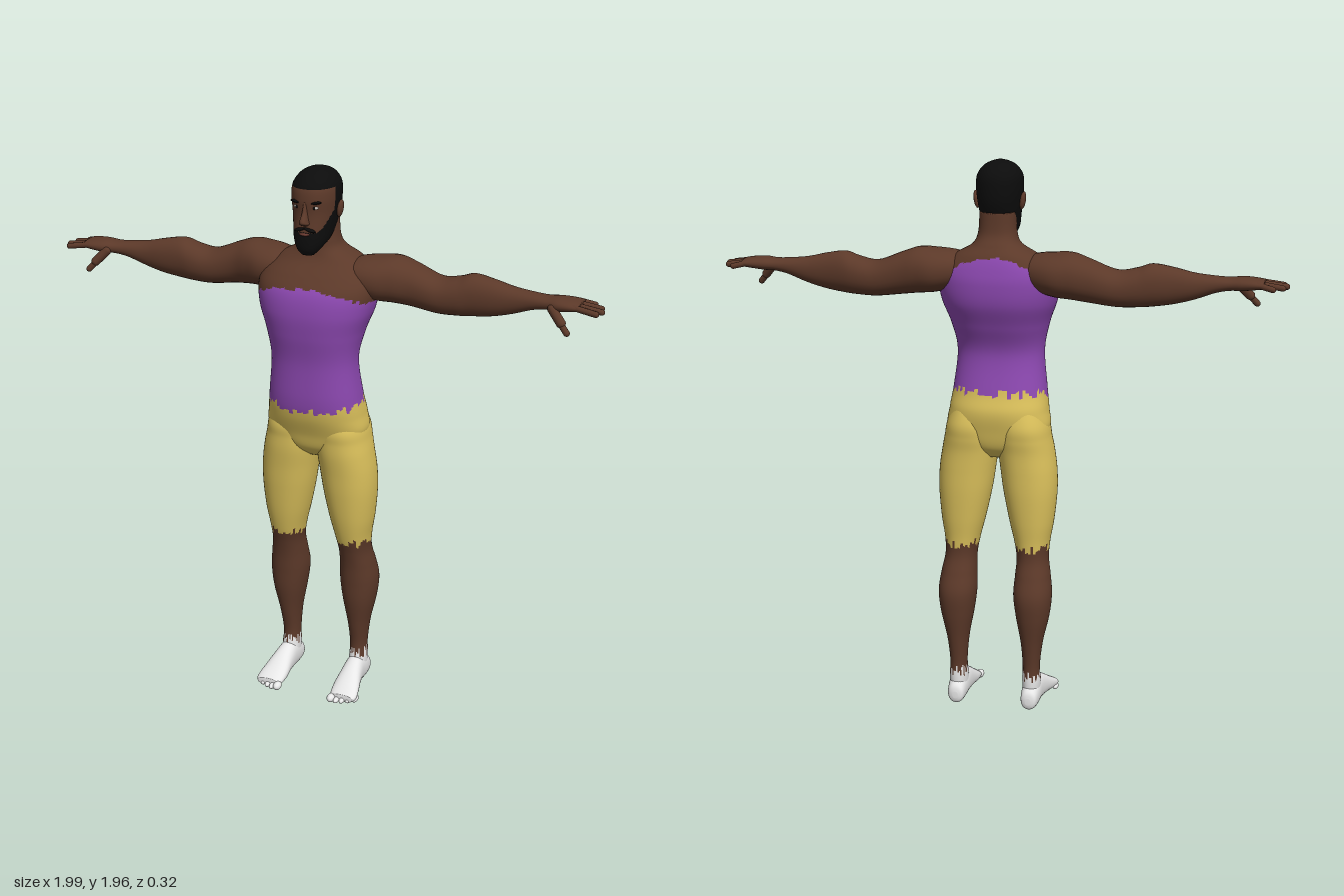
import * as THREE from 'three';

const mat = (name, color) => Object.assign(new THREE.MeshStandardMaterial({ color }), { name });
const jag = (k) => { const s = Math.sin(k * 12.9898 + 4.1) * 43758.5453; return s - Math.floor(s); };
const spow = (v, e) => Math.sign(v) * Math.pow(Math.abs(v), e);

// Smooth curve through the rows, all columns at once
function smoothRows(rows, steps) {
  const out = [], n = rows.length;
  for (let i = 0; i < n - 1; i++) {
    const [r0, r1, r2, r3] = [rows[Math.max(i - 1, 0)], rows[i], rows[i + 1], rows[Math.min(i + 2, n - 1)]];
    for (let k = 0; k < steps; k++) {
      const t = k / steps;
      out.push(r1.map((p, c) => 0.5 * (2 * p + (r2[c] - r0[c]) * t
        + (2 * r0[c] - 5 * p + 4 * r2[c] - r3[c]) * t * t
        + (3 * p - r0[c] - 3 * r2[c] + r3[c]) * t * t * t)));
    }
  }
  out.push(rows[n - 1]);
  return out;
}

// Rounded cross-sections along an axis; each row is [position, minA, maxA, minB, maxB].
// rule(centre, column) picks the material index of a face.
function loft(name, axis, rows, mats, { side = 1, seg = 32, steps = 6, power = 2.2, rule = () => 0 } = {}) {
  const rings = smoothRows(rows, steps), verts = [], tris = [];
  const put = (t, a, b) => {
    const [x, y, z] = axis === 'x' ? [t, a, b] : axis === 'y' ? [a, t, b] : [a, b, t];
    verts.push(new THREE.Vector3(x * side, y, z));
  };
  for (const [t, a0, a1, b0, b1] of rings) {
    for (let j = 0; j < seg; j++) {
      const w = (j / seg) * Math.PI * 2;
      put(t, (a0 + a1) / 2 + (a1 - a0) / 2 * spow(Math.cos(w), 2 / power),
        (b0 + b1) / 2 + (b1 - b0) / 2 * spow(Math.sin(w), 2 / power));
    }
  }
  const last = rings.length - 1;
  for (const r of [rings[0], rings[last]]) put(r[0], (r[1] + r[2]) / 2, (r[3] + r[4]) / 2);
  const endA = verts.length - 2, endB = verts.length - 1;
  for (let j = 0; j < seg; j++) {
    const k = (j + 1) % seg;
    for (let i = 0; i < last; i++) {
      const a = i * seg + j, b = i * seg + k, c = a + seg, d = b + seg;
      tris.push([a, b, c, j], [b, d, c, j]);
    }
    tris.push([endA, k, j, j], [endB, last * seg + j, last * seg + k, j]);
  }
  // Turn faces outward, whichever way the axis runs
  let volume = 0;
  const mid = verts[endA], v = new THREE.Vector3(), e = new THREE.Vector3(), f = new THREE.Vector3();
  for (const [a, b, c] of tris) {
    volume += v.subVectors(verts[a], mid).dot(e.subVectors(verts[b], mid).cross(f.subVectors(verts[c], mid)));
  }
  const buckets = mats.map(() => []);
  for (const [a, b, c, j] of tris) {
    v.copy(verts[a]).add(verts[b]).add(verts[c]).divideScalar(3);
    buckets[rule(v, j)].push(...(volume > 0 ? [a, b, c] : [a, c, b]));
  }
  const geo = new THREE.BufferGeometry().setFromPoints(verts);
  geo.setIndex(buckets.flat());
  let start = 0;
  buckets.forEach((b, i) => { geo.addGroup(start, b.length, i); start += b.length; });
  geo.computeVertexNormals();
  const mesh = new THREE.Mesh(geo, mats);
  mesh.name = name;
  return mesh;
}

function ball(name, material, pos, size, tilt = 0) {
  const m = new THREE.Mesh(new THREE.SphereGeometry(1, 18, 12), material);
  m.position.set(...pos);
  m.scale.set(...size);
  m.rotation.z = tilt;
  m.name = name;
  return m;
}

function digit(name, material, from, to, radius) {
  const a = new THREE.Vector3(...from), b = new THREE.Vector3(...to), d = b.clone().sub(a);
  const m = new THREE.Mesh(new THREE.CapsuleGeometry(radius, d.length(), 5, 10), material);
  m.position.copy(a).add(b).multiplyScalar(0.5);
  m.quaternion.setFromUnitVectors(new THREE.Vector3(0, 1, 0), d.normalize());
  m.name = name;
  return m;
}

const symmetric = (rows) => rows.map(([y, h, back, front]) => [y, -h, h, back, front]);

export function createModel() {
  const skin = mat('skin', 0x5c3929), purple = mat('purple top', 0x8c48b0), yellow = mat('yellow shorts', 0xd8be5a);
  const white = mat('white socks', 0xececec), hair = mat('black hair', 0x0c0c0c);
  const lip = mat('lips', 0x6a3a30), eyeWhite = mat('eye white', 0xcfc8c0);
  const model = new THREE.Group();
  model.name = 'standingMan';

  // Torso and neck, with a ragged waist and neckline
  model.add(loft('torso', 'y', symmetric([
    [0.93, 0.05, -0.07, 0.04], [0.97, 0.12, -0.105, 0.085], [1.03, 0.18, -0.12, 0.105],
    [1.1, 0.175, -0.128, 0.13], [1.17, 0.165, -0.108, 0.14], [1.3, 0.153, -0.085, 0.14],
    [1.4, 0.172, -0.118, 0.154], [1.48, 0.2, -0.15, 0.159], [1.55, 0.21, -0.157, 0.145],
    [1.6, 0.195, -0.15, 0.108], [1.645, 0.145, -0.135, 0.062], [1.68, 0.085, -0.112, 0.045],
    [1.72, 0.066, -0.09, 0.04], [1.79, 0.062, -0.085, 0.04],
  ]), [skin, purple, yellow], {
    seg: 72, steps: 10, power: 2.35,
    rule: (p, j) => {
      if (p.y < 1.155 - 0.16 * p.z + 0.035 * (jag(j) - 0.6)) return 2;
      const top = p.z > 0 ? 1.575 - 1.1 * p.x * p.x : 1.65 - 2.2 * p.x * p.x;
      return p.y < top - 0.012 * jag(j + 90) ? 1 : 0;
    },
  }));

  // Head with cropped hair and a full beard
  const head = new THREE.Group();
  head.name = 'head';
  model.add(head);
  head.add(loft('skull', 'y', symmetric([
    [1.68, 0.022, 0.065, 0.105], [1.7, 0.04, 0.03, 0.121], [1.73, 0.058, -0.03, 0.123],
    [1.77, 0.067, -0.07, 0.118], [1.82, 0.074, -0.092, 0.113], [1.87, 0.079, -0.097, 0.115],
    [1.91, 0.076, -0.092, 0.107], [1.94, 0.057, -0.07, 0.08], [1.955, 0.033, -0.04, 0.05], [1.962, 0.008, 0, 0.02],
  ]), [skin, hair], {
    seg: 56, steps: 8,
    rule: ({ y, z }) => {
      const scalp = y > 1.905 || (z < 0.035 && y > 1.76 - 0.1 * z);
      const beard = z > 0 && y < 1.762 + Math.max(0, 0.1 - z) * 1.1;
      return scalp || beard ? 1 : 0;
    },
  }));
  head.add(loft('nose', 'y', symmetric([
    [1.865, 0.007, 0.09, 0.115], [1.83, 0.009, 0.09, 0.126], [1.803, 0.014, 0.09, 0.143],
    [1.792, 0.017, 0.09, 0.138], [1.784, 0.011, 0.09, 0.12],
  ]), [skin], { seg: 16 }));
  head.add(ball('mouth', lip, [0, 1.755, 0.115], [0.02, 0.006, 0.01]));
  for (const s of [1, -1]) {
    head.add(ball('ear', skin, [s * 0.081, 1.825, 0.002], [0.01, 0.031, 0.018], -s * 0.15));
    head.add(ball('eye', eyeWhite, [s * 0.031, 1.845, 0.1], [0.013, 0.006, 0.009]));
    head.add(ball('iris', hair, [s * 0.031, 1.845, 0.106], [0.005, 0.005, 0.005]));
    head.add(ball('eyebrow', hair, [s * 0.034, 1.862, 0.103], [0.022, 0.005, 0.011], s * 0.12));
    head.add(ball('moustache', hair, [s * 0.017, 1.771, 0.113], [0.022, 0.006, 0.012], -s * 0.3));
  }

  for (const side of [1, -1]) {
    const prefix = side > 0 ? 'left' : 'right';

    // Outstretched arm: shoulder, biceps, forearm, wrist and palm
    model.add(loft(prefix + 'Arm', 'x', [
      [0.09, 1.55, 1.64, -0.1, 0.03], [0.15, 1.525, 1.655, -0.135, 0.05], [0.21, 1.51, 1.662, -0.154, 0.05],
      [0.27, 1.505, 1.664, -0.15, 0.03], [0.33, 1.498, 1.645, -0.14, 0.013], [0.42, 1.487, 1.612, -0.13, 0.012],
      [0.49, 1.488, 1.622, -0.122, 0.01], [0.54, 1.492, 1.637, -0.114, 0.005], [0.61, 1.502, 1.627, -0.1, 0],
      [0.68, 1.52, 1.611, -0.09, -0.006], [0.75, 1.545, 1.603, -0.081, -0.006], [0.8, 1.555, 1.6, -0.079, 0],
      [0.84, 1.556, 1.603, -0.085, 0.012], [0.88, 1.561, 1.601, -0.09, 0.015], [0.915, 1.566, 1.596, -0.091, 0.012],
    ], [skin], { side }));

    // Fingers as [tip x, root z, tip z], then the thumb
    const hand = new THREE.Group();
    hand.name = prefix + 'Fingers';
    model.add(hand);
    [[0.945, -0.078, -0.089], [0.975, -0.052, -0.056], [0.985, -0.025, -0.02], [0.973, 0.001, 0.009]].forEach(([tip, z0, z1]) =>
      hand.add(digit('finger', skin, [side * 0.895, 1.583, z0], [side * tip, 1.572, z1], 0.0105)));
    hand.add(digit('thumbBase', skin, [side * 0.825, 1.57, 0], [side * 0.862, 1.53, 0.018], 0.016));
    hand.add(digit('thumb', skin, [side * 0.855, 1.535, 0.016], [side * 0.885, 1.502, 0.027], 0.011));

    // Leg with ragged shorts hem and sock top
    model.add(loft(prefix + 'Leg', 'y', [
      [1.12, 0.03, 0.15, -0.1, 0.07], [1.05, 0.008, 0.18, -0.125, 0.098], [1, 0.002, 0.19, -0.125, 0.098],
      [0.95, 0.003, 0.2, -0.12, 0.097], [0.88, 0.012, 0.21, -0.12, 0.09], [0.8, 0.024, 0.212, -0.12, 0.083],
      [0.7, 0.045, 0.203, -0.115, 0.07], [0.62, 0.065, 0.19, -0.108, 0.053], [0.56, 0.075, 0.187, -0.108, 0.035],
      [0.5, 0.073, 0.197, -0.127, 0.023], [0.43, 0.07, 0.205, -0.148, 0.017], [0.35, 0.08, 0.197, -0.143, 0.01],
      [0.25, 0.098, 0.175, -0.125, -0.01], [0.16, 0.105, 0.165, -0.112, -0.027], [0.1, 0.103, 0.168, -0.112, -0.02],
      [0.05, 0.104, 0.166, -0.11, 0],
    ], [skin, yellow, white], {
      side, seg: 44, steps: 9,
      rule: (p, j) => (p.y > 0.585 + 0.04 * jag(j) ? 1 : p.y < 0.1 + 0.045 * jag(j + 50) ? 2 : 0),
    }));

    // Foot and toes
    model.add(loft(prefix + 'Foot', 'z', [
      [-0.13, 0.125, 0.145, 0.025, 0.05], [-0.12, 0.108, 0.163, 0.006, 0.075], [-0.08, 0.102, 0.17, 0, 0.102],
      [-0.03, 0.1, 0.172, 0.003, 0.112], [0.02, 0.098, 0.18, 0.004, 0.095], [0.07, 0.094, 0.192, 0.002, 0.067],
      [0.11, 0.097, 0.198, 0.002, 0.045], [0.13, 0.105, 0.19, 0.006, 0.034],
    ], [white], { side }));
    for (let i = 0; i < 5; i++) {
      const r = i ? 0.0105 : 0.015;
      model.add(ball('toe', white, [side * (0.108 + i * 0.0205), r + 0.001, 0.134 - i * i * 0.0022], [r, r, 0.022]));
    }
  }
  return model;
}
